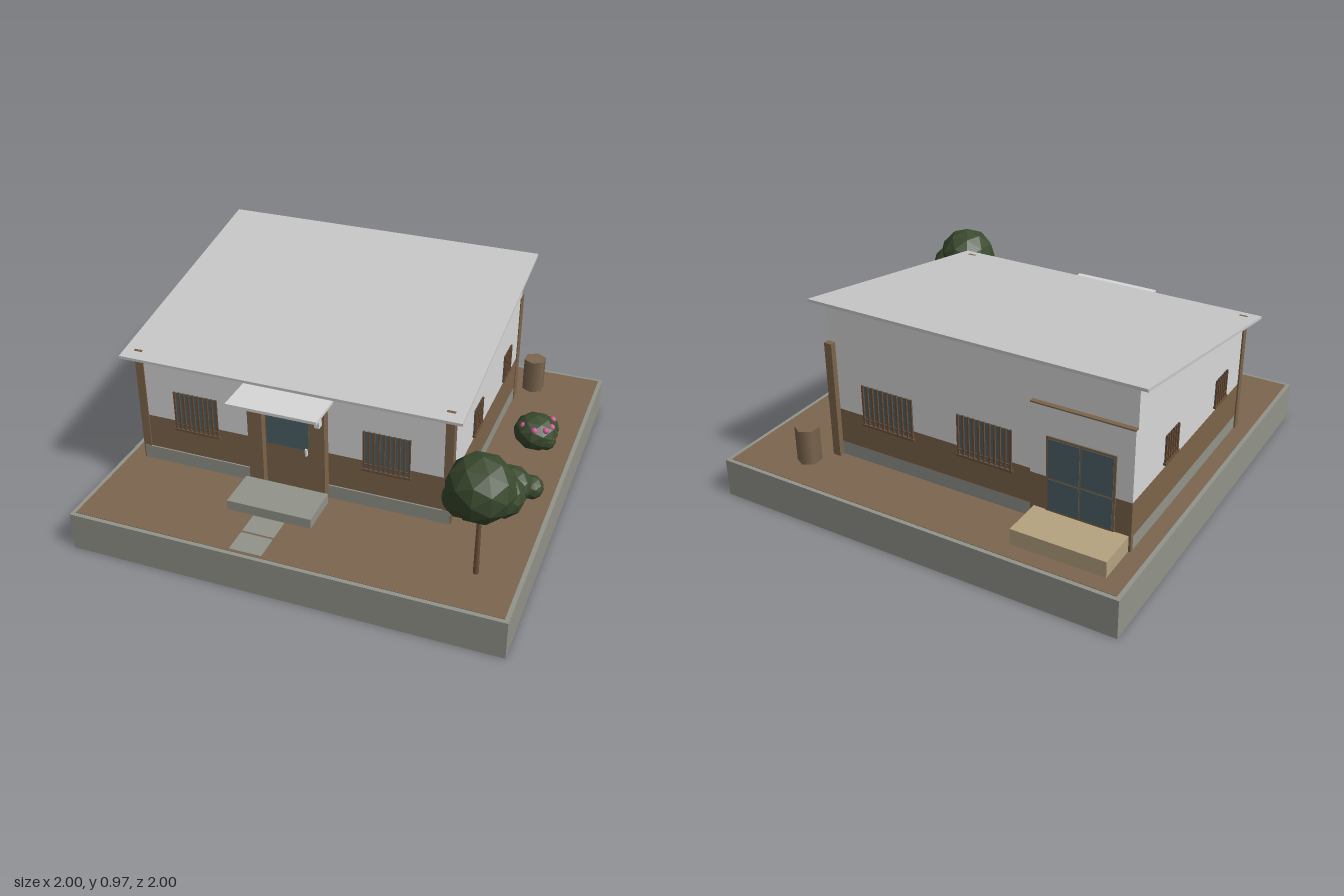
import * as THREE from 'three';

const mat = (name, color, flat = false) => {
  const m = new THREE.MeshStandardMaterial({ color, flatShading: flat });
  m.name = name;
  return m;
};

export function createModel() {
  const M = {
    concrete: mat('concrete', 0x92938a),
    soil: mat('soil', 0x7c664f),
    wood: mat('brown render', 0x7d644a),
    wall: mat('white wall', 0xd8d8d8),
    roof: mat('roof sheet', 0xc8c8c8),
    glass: mat('glass', 0x4c6266),
    leaf: mat('leaves', 0x3a4a2e, true),
    pink: mat('blossom', 0xc8568f),
    bar: mat('dark timber', 0x6b4f39),
    tan: mat('tan stone', 0xb6a380),
  };
  const model = new THREE.Group();
  model.name = 'house';

  const add = (name, geo, material, parent = model) => {
    const mesh = new THREE.Mesh(geo, material);
    mesh.name = name;
    parent.add(mesh);
    return mesh;
  };
  // Box given by its minimum and maximum on each axis
  const box = (name, m, x0, x1, y0, y1, z0, z1, parent) => {
    const b = add(name, new THREE.BoxGeometry(x1 - x0, y1 - y0, z1 - z0), m, parent);
    b.position.set((x0 + x1) / 2, (y0 + y1) / 2, (z0 + z1) / 2);
    return b;
  };
  // Side profile of [z, y] points swept along x
  const sweepX = (name, m, pts, x0, x1) => {
    const shape = new THREE.Shape(pts.map(([z, y]) => new THREE.Vector2(z, y)));
    const geo = new THREE.ExtrudeGeometry(shape, { depth: x1 - x0, bevelEnabled: false });
    geo.rotateY(-Math.PI / 2).translate(x1, 0, 0);
    return add(name, geo, m);
  };

  const G = 0.185; // ground level
  const L = -0.905, R = 0.6, F = 0.472, B = -0.682; // house walls
  const under = (z) => 0.74 + 0.172 * (0.53 - z); // underside of the roof

  // Plot
  box('plotBase', M.concrete, -1, 1, 0, G, -1, 1);
  box('soil', M.soil, -0.98, 0.98, G - 0.01, G + 0.002, -0.98, 0.98);
  box('pathSlabNear', M.concrete, -0.23, -0.08, G, G + 0.005, 0.725, 0.84);
  box('pathSlabFar', M.concrete, -0.23, -0.08, G, G + 0.005, 0.85, 0.97);

  // House body
  box('foundation', M.concrete, L, R, G, 0.255, B, 0.479);
  box('wallBand', M.wood, L, R, 0.255, 0.425, B, F);
  sweepX('upperWall', M.wall, [[B, 0.425], [F, 0.425], [F, under(F)], [B, under(B)]], L, R);
  sweepX('roof', M.roof, [[0.53, 0.74], [0.53, 0.753], [-0.74, 0.972], [-0.74, 0.958]], -0.96, 0.65);
  box('frontPostLeft', M.wood, 0.565, 0.604, G, 0.7645, 0.44, 0.477);
  box('frontPostRight', M.wood, -0.912, -0.872, G, 0.7645, 0.44, 0.477);
  box('backPost', M.wood, 0.565, 0.604, G, 0.76, -0.71, -0.65);

  // Barred window, built facing +z with its origin at the wall surface
  const makeWindow = (name, x, z, turn, width, y0, bars) => {
    const g = new THREE.Group();
    g.name = name;
    const w = width / 2, top = 0.585;
    box('windowGlass', M.glass, -w, w, y0, top - 0.005, -0.005, 0.003, g);
    for (let i = 0; i < bars; i++) {
      const c = -w + (width * i) / (bars - 1);
      box('windowBar', M.bar, c - 0.0045, c + 0.0045, y0, top, 0.003, 0.011, g);
    }
    box('windowRail', M.bar, -w, w, y0 + 0.02, y0 + 0.026, 0.003, 0.009, g);
    box('windowSill', M.bar, -w - 0.01, w + 0.01, y0 - 0.01, y0, -0.005, 0.014, g);
    g.position.set(x, 0, z);
    g.rotation.y = turn;
    model.add(g);
  };
  for (const x of [-0.618, 0.305]) makeWindow('frontWindow', x, F, 0, 0.21, 0.39, 10);
  for (const x of [0.295, -0.205]) makeWindow('backWindow', x, B, Math.PI, 0.26, 0.39, 11);
  for (const z of [0.087, -0.433]) makeWindow('leftWindow', R, z, Math.PI / 2, 0.12, 0.455, 6);
  for (const z of [0.2, -0.345]) makeWindow('rightWindow', L, z, -Math.PI / 2, 0.12, 0.455, 6);

  // Front entrance
  box('entrancePanel', M.wood, -0.34, 0.03, G, 0.69, 0.46, 0.48);
  box('entranceColumnRight', M.wood, -0.34, -0.27, G, 0.69, 0.46, 0.517);
  box('entranceColumnLeft', M.wood, -0.04, 0.03, G, 0.69, 0.46, 0.517);
  box('frontDoor', M.wood, -0.265, -0.045, 0.235, 0.622, 0.48, 0.486);
  box('doorGlass', M.glass, -0.26, -0.058, 0.425, 0.6, 0.486, 0.489);
  box('doorHandle', M.wall, -0.072, -0.063, 0.4, 0.435, 0.486, 0.5);
  box('canopy', M.wall, -0.37, 0.055, 0.69, 0.704, 0.46, 0.66);
  box('porchLamp', M.wall, -0.005, 0.02, 0.595, 0.627, 0.517, 0.547);
  box('frontStep', M.concrete, -0.36, 0.043, G, 0.235, 0.517, 0.72);

  // Back entrance
  box('backPanel', M.wall, L, -0.437, 0.425, 0.755, -0.703, B);
  box('backPanelBand', M.wood, L, -0.437, G, 0.425, -0.703, B);
  box('backPanelCap', M.wood, L, -0.437, 0.755, 0.761, -0.705, B);
  box('backDoorFrame', M.wood, -0.83, -0.515, 0.263, 0.622, -0.709, -0.7);
  for (const x of [-0.82, -0.668]) {
    box('backDoorGlass', M.glass, x, x + 0.143, 0.43, 0.612, -0.712, -0.707);
    box('backDoorLowerGlass', M.glass, x, x + 0.143, 0.273, 0.42, -0.712, -0.707);
  }
  box('backStep', M.tan, -0.895, -0.455, G, 0.263, -0.9, B);

  // Plants
  const blob = (name, x, y, z, r, sy = 1) => {
    const b = add(name, new THREE.IcosahedronGeometry(r, 1), M.leaf);
    b.position.set(x, y, z);
    b.scale.y = sy;
  };
  const trunk = add('treeTrunk', new THREE.CylinderGeometry(0.009, 0.013, 0.35, 6), M.bar);
  trunk.position.set(0.797, G + 0.17, 0.75);
  blob('treeCrown', 0.795, 0.62, 0.75, 0.148);
  blob('treeCrownSide', 0.872, 0.575, 0.705, 0.096);
  blob('treeCrownSide', 0.73, 0.57, 0.765, 0.09);

  blob('smallBush', 0.8, 0.262, 0.19, 0.098, 0.88);
  blob('smallBushSide', 0.885, 0.24, 0.15, 0.057);
  blob('flowerBush', 0.803, 0.262, -0.277, 0.108, 0.82);
  blob('flowerBushSide', 0.842, 0.245, -0.35, 0.06);
  blob('flowerBushSide', 0.86, 0.24, -0.25, 0.05);
  const blossoms = [[0.745, -0.3], [0.79, -0.345], [0.87, -0.33], [0.88, -0.26],
    [0.86, -0.22], [0.81, -0.2], [0.75, -0.23]];
  for (const [x, z] of blossoms) {
    add('blossom', new THREE.SphereGeometry(0.017, 8, 6), M.pink).position.set(x, 0.31, z);
  }

  // Rain barrel
  const barrel = add('barrel', new THREE.CylinderGeometry(0.057, 0.057, 0.174, 6), M.soil);
  barrel.position.set(0.67, G + 0.087, -0.8);

  return model;
}
